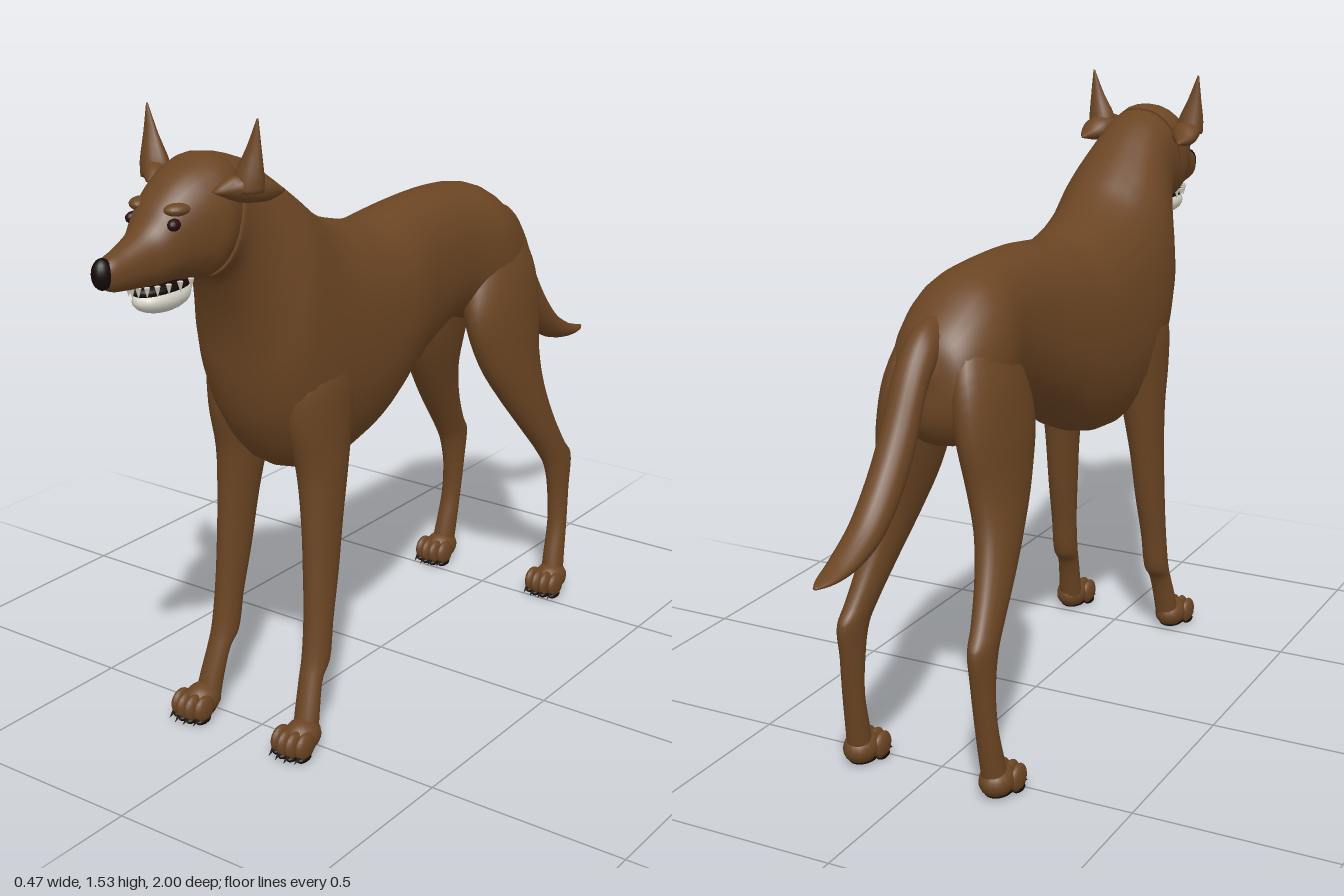
import * as THREE from 'three';

const mat = (name, color) => Object.assign(new THREE.MeshStandardMaterial({ color }), { name });

// Smooth closed skin through rings [zA, yA, zB, yB, halfWidth, centreX]:
// A and B are opposite ends of each ring in the side plane.
function loft(rings, steps = 5, sides = 28, power = 0.9) {
  const a = new THREE.CatmullRomCurve3(rings.map(r => new THREE.Vector3(r[0], r[1], r[4])));
  const b = new THREE.CatmullRomCurve3(rings.map(r => new THREE.Vector3(r[2], r[3], r[5] || 0)));
  const n = (rings.length - 1) * steps, pos = [], idx = [];
  const bulge = v => Math.sign(v) * Math.pow(Math.abs(v), power);
  for (let i = 0; i <= n; i++) {
    const p = a.getPoint(i / n), q = b.getPoint(i / n);
    for (let j = 0; j < sides; j++) {
      const t = (j / sides) * Math.PI * 2, c = bulge(Math.cos(t)), s = bulge(Math.sin(t));
      pos.push(q.z + p.z * s, (p.y + q.y) / 2 + c * (p.y - q.y) / 2, (p.x + q.x) / 2 + c * (p.x - q.x) / 2);
      if (i < n) {
        const k = i * sides + j, m = i * sides + (j + 1) % sides;
        idx.push(k, m, k + sides, m, m + sides, k + sides);
      }
    }
  }
  // end caps
  for (const i of [0, n]) {
    const p = a.getPoint(i / n), q = b.getPoint(i / n), centre = pos.length / 3;
    pos.push(q.z, (p.y + q.y) / 2, (p.x + q.x) / 2);
    for (let j = 0; j < sides; j++) {
      const k = i * sides + j, m = i * sides + (j + 1) % sides;
      if (i === 0) idx.push(centre, m, k); else idx.push(centre, k, m);
    }
  }
  // turn the faces outward if the rings ran the other way
  const v = k => new THREE.Vector3().fromArray(pos, k * 3);
  let volume = 0;
  for (let i = 0; i < idx.length; i += 3) volume += v(idx[i]).dot(v(idx[i + 1]).cross(v(idx[i + 2])));
  if (volume < 0) idx.reverse();
  const g = new THREE.BufferGeometry();
  g.setAttribute('position', new THREE.Float32BufferAttribute(pos, 3));
  g.setIndex(idx);
  g.computeVertexNormals();
  return g;
}

export function createModel() {
  const coat = mat('brown coat', 0x6b4523);
  const dark = mat('dark nose and claws', 0x150a08);
  const eyeMat = mat('dark red eye', 0x2a0c0a);
  const white = mat('white jaw and teeth', 0xd8d4c8);

  const dog = new THREE.Group();
  dog.name = 'dog';
  const add = (name, geometry, material, parent = dog) => {
    const m = new THREE.Mesh(geometry, material);
    m.name = name;
    parent.add(m);
    return m;
  };
  const ball = (name, material, p, r, parent) => {
    const m = add(name, new THREE.SphereGeometry(1, 18, 12), material, parent);
    m.position.set(...p);
    m.scale.set(...r);
    return m;
  };

  // Rump, barrel, chest and neck, running into the head
  add('body', loft([
    [-0.555, 1.0, -0.555, 0.96, 0.02], [-0.53, 1.07, -0.55, 0.87, 0.085],
    [-0.47, 1.13, -0.5, 0.81, 0.125], [-0.38, 1.185, -0.4, 0.81, 0.14],
    [-0.25, 1.205, -0.26, 0.85, 0.12], [-0.1, 1.205, -0.1, 0.8, 0.128],
    [0, 1.195, 0, 0.755, 0.145], [0.1, 1.187, 0.1, 0.69, 0.158],
    [0.2, 1.208, 0.22, 0.645, 0.168], [0.27, 1.23, 0.34, 0.635, 0.173],
    [0.33, 1.26, 0.45, 0.67, 0.175], [0.38, 1.298, 0.52, 0.76, 0.172],
    [0.42, 1.328, 0.555, 0.86, 0.165], [0.46, 1.357, 0.58, 1.0, 0.145],
    [0.51, 1.393, 0.61, 1.1, 0.123], [0.56, 1.423, 0.65, 1.17, 0.109],
    [0.62, 1.443, 0.69, 1.18, 0.107],
  ]), coat);

  // Skull and upper muzzle
  add('head', loft([
    [0.58, 1.42, 0.65, 1.2, 0.09], [0.66, 1.45, 0.71, 1.18, 0.11],
    [0.72, 1.437, 0.75, 1.188, 0.1], [0.77, 1.412, 0.785, 1.195, 0.085],
    [0.82, 1.37, 0.83, 1.195, 0.067], [0.86, 1.325, 0.87, 1.198, 0.05],
    [0.92, 1.295, 0.92, 1.203, 0.038], [0.965, 1.28, 0.96, 1.21, 0.028],
    [0.985, 1.265, 0.975, 1.225, 0.014],
  ]), coat);
  ball('nose', dark, [0, 1.25, 0.975], [0.022, 0.034, 0.025]);

  // Mouth, lower jaw and a row of teeth
  ball('mouth', dark, [0, 1.185, 0.8], [0.042, 0.018, 0.085]);
  ball('lowerJaw', white, [0, 1.163, 0.8], [0.046, 0.033, 0.08]);
  for (let i = 0; i <= 12; i++) {
    const t = (i / 12) * Math.PI;
    const tooth = add('tooth', new THREE.ConeGeometry(0.007, 0.024, 6), white);
    tooth.position.set(Math.cos(t) * 0.053, 1.19, 0.765 + Math.sin(t) * 0.125);
    tooth.rotation.x = Math.PI;
  }

  // Tail
  add('tail', loft([
    [-0.46, 1.12, -0.48, 1.0, 0.03], [-0.55, 1.095, -0.535, 0.99, 0.042],
    [-0.61, 1.035, -0.575, 0.95, 0.043], [-0.685, 0.9, -0.625, 0.835, 0.043],
    [-0.745, 0.81, -0.69, 0.74, 0.043], [-0.82, 0.728, -0.78, 0.665, 0.041],
    [-0.91, 0.672, -0.88, 0.635, 0.034], [-0.97, 0.65, -0.96, 0.632, 0.021],
    [-1, 0.642, -0.998, 0.636, 0.005],
  ], 5, 18, 1).translate(0.01, 0, 0), coat);

  const sheath = ball('bellySheath', coat, [0, 0.805, -0.125], [0.025, 0.035, 0.065]);
  sheath.rotation.x = -0.45;

  // Paw with four clawed toes and a dark sole
  function paw(x, z) {
    const p = new THREE.Group();
    p.name = 'paw';
    p.position.set(x, 0, z);
    dog.add(p);
    ball('pawBase', coat, [0, 0.042, 0], [0.042, 0.04, 0.052], p);
    ball('pad', dark, [0, 0.013, 0.012], [0.034, 0.013, 0.048], p);
    [-1.5, -0.5, 0.5, 1.5].forEach(k => {
      const front = 0.05 - Math.abs(k) * 0.009;
      ball('toe', coat, [k * 0.024, 0.038, front], [0.015, 0.034, 0.034], p);
      ball('toePad', dark, [k * 0.024, 0.01, front + 0.003], [0.012, 0.01, 0.024], p);
      const claw = add('claw', new THREE.ConeGeometry(0.007, 0.03, 6), dark, p);
      claw.position.set(k * 0.025, 0.018, front + 0.032);
      claw.rotation.x = 2.1;
    });
  }

  for (const s of [1, -1]) {
    // Front leg: shoulder, forearm, wrist and pastern
    add('frontLeg', loft([
      [0.46, 1.0, 0.3, 1.0, 0.045, s * 0.1], [0.51, 0.9, 0.285, 0.9, 0.064, s * 0.11],
      [0.51, 0.8, 0.3, 0.8, 0.062, s * 0.113], [0.48, 0.68, 0.327, 0.68, 0.053, s * 0.12],
      [0.476, 0.55, 0.355, 0.55, 0.043, s * 0.127], [0.48, 0.42, 0.38, 0.42, 0.038, s * 0.132],
      [0.487, 0.3, 0.41, 0.3, 0.034, s * 0.137], [0.5, 0.21, 0.43, 0.2, 0.033, s * 0.14],
      [0.512, 0.17, 0.46, 0.165, 0.03, s * 0.142], [0.535, 0.1, 0.483, 0.09, 0.031, s * 0.148],
      [0.55, 0.05, 0.495, 0.03, 0.032, s * 0.152],
    ], 4, 20, 1), coat);
    paw(s * 0.155, 0.54);

    // Hind leg: thigh, shin, hock and pastern
    add('hindLeg', loft([
      [-0.34, 1.08, -0.5, 1.08, 0.045, s * 0.06], [-0.28, 0.96, -0.55, 0.97, 0.065, s * 0.085],
      [-0.255, 0.85, -0.562, 0.85, 0.066, s * 0.103], [-0.3, 0.715, -0.543, 0.72, 0.058, s * 0.12],
      [-0.37, 0.61, -0.545, 0.63, 0.049, s * 0.137], [-0.44, 0.52, -0.577, 0.53, 0.04, s * 0.153],
      [-0.52, 0.42, -0.63, 0.43, 0.032, s * 0.167], [-0.55, 0.37, -0.66, 0.39, 0.029, s * 0.172],
      [-0.573, 0.29, -0.647, 0.3, 0.027, s * 0.174], [-0.578, 0.2, -0.63, 0.19, 0.027, s * 0.178],
      [-0.553, 0.1, -0.613, 0.08, 0.029, s * 0.182], [-0.54, 0.05, -0.605, 0.03, 0.03, s * 0.185],
    ], 4, 20, 1), coat);
    paw(s * 0.185, -0.565);

    // Upright ear spike, with a folded flap below pointing out and back
    add('earSpike', loft([
      [0.695, 1.38, 0.625, 1.38, 0.035, s * 0.13], [0.69, 1.41, 0.632, 1.41, 0.036, s * 0.131],
      [0.67, 1.47, 0.645, 1.47, 0.019, s * 0.143], [0.657, 1.535, 0.653, 1.535, 0.002, s * 0.153],
    ], 3, 12, 1), coat);
    add('earFlap', loft([
      [0.73, 1.385, 0.715, 1.375, 0.012, s * 0.09], [0.69, 1.415, 0.67, 1.355, 0.035, s * 0.115],
      [0.63, 1.41, 0.62, 1.35, 0.038, s * 0.13], [0.59, 1.385, 0.59, 1.355, 0.022, s * 0.138],
      [0.555, 1.368, 0.555, 1.362, 0.003, s * 0.14],
    ], 4, 14, 1), coat);

    // Eye and brow
    const eye = ball('eye', eyeMat, [s * 0.056, 1.328, 0.815], [0.014, 0.014, 0.02]);
    eye.rotation.y = s * 0.3;
    const brow = ball('brow', coat, [s * 0.052, 1.357, 0.8], [0.022, 0.014, 0.03]);
    brow.rotation.y = -s * 0.4;
  }
  return dog;
}
